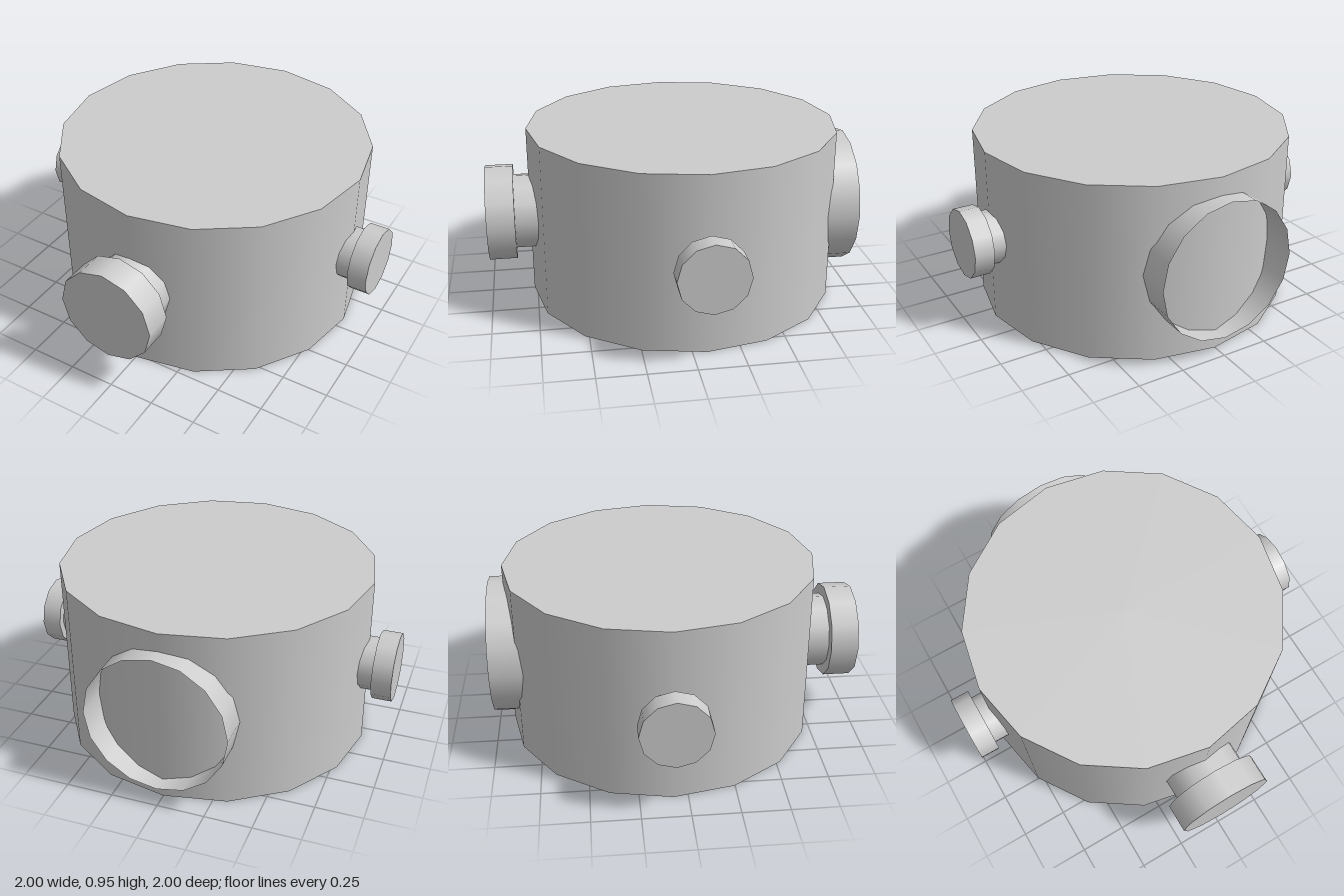
import * as THREE from 'three';

const AXIS_Y = 0.48; // height of all ports
const BODY_Z = -0.075; // the drum sits slightly behind the centre

export function createModel() {
  const model = new THREE.Group();
  model.name = 'drumWithPorts';
  const grey = new THREE.MeshStandardMaterial({ color: 0xcccccc });
  grey.name = 'grey';
  const openGrey = new THREE.MeshStandardMaterial({ color: 0xcccccc, side: THREE.DoubleSide });
  openGrey.name = 'grey open tube';

  // Cylinder along +z from z0 to z1
  function barrel(name, radius, z0, z1, sides, open = false) {
    const g = new THREE.CylinderGeometry(radius, radius, z1 - z0, sides, 1, open);
    g.rotateX(Math.PI / 2).translate(0, 0, (z0 + z1) / 2);
    const mesh = new THREE.Mesh(g, open ? openGrey : grey);
    mesh.name = name;
    return mesh;
  }

  // Port group pointing outward from the drum axis
  function port(name, angle, ...parts) {
    const group = new THREE.Group();
    group.name = name;
    group.position.set(0, AXIS_Y, BODY_Z);
    group.rotation.y = angle;
    group.add(...parts);
    model.add(group);
  }

  // Main drum
  const drum = new THREE.Mesh(new THREE.CylinderGeometry(0.843, 0.843, 0.95, 16), grey);
  drum.name = 'drum';
  drum.position.set(0, 0.475, BODY_Z);
  model.add(drum);

  // Front port: stem and capped flange
  port('frontPort', 0,
    barrel('frontStem', 0.204, 0.7, 0.93, 12),
    barrel('frontFlange', 0.262, 0.925, 1.075, 12));

  // Smaller ports on both sides
  for (const [side, s] of [['left', 1], ['right', -1]]) {
    port(side + 'Port', s * Math.PI / 2,
      barrel(side + 'Stem', 0.142, 0.7, 0.9, 12),
      barrel(side + 'Flange', 0.183, 0.895, 1, 12));
  }

  // Wide open collar at the back
  port('backPort', Math.PI, barrel('backCollar', 0.374, 0.7, 0.925, 16, true));

  return model;
}
